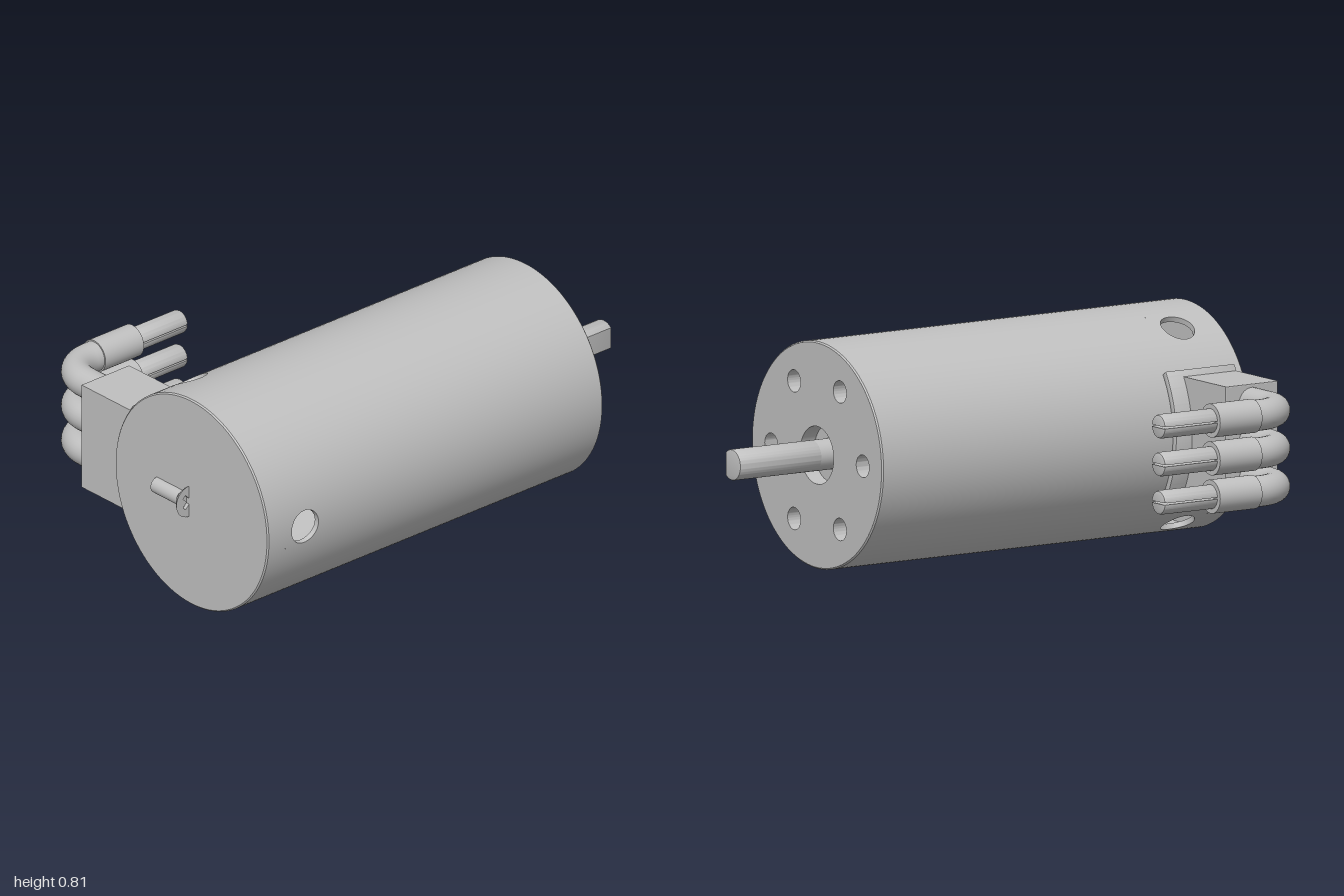
import * as THREE from 'three';
import { toCreasedNormals } from 'three/addons/utils/BufferGeometryUtils.js';
import { ParametricGeometry } from 'three/addons/geometries/ParametricGeometry.js';

const CY = 0.407, CZ = 0.258, R = 0.405, WALL = 0.02; // can axis and radii
const BACK = -0.94, FRONT = 0.635, CH = 0.005;
const HOLE_X = -0.765, HOLE_R = 0.063;

export function createModel() {
  const model = new THREE.Group();
  const metal = new THREE.MeshStandardMaterial({ color: 0xbfbfbf, side: THREE.DoubleSide });
  metal.name = 'grey metal';

  function add(name, geo, x = 0, y = 0, z = 0, parent = model) {
    const mesh = new THREE.Mesh(geo, metal);
    mesh.name = name;
    mesh.position.set(x, y, z);
    parent.add(mesh);
    return mesh;
  }
  function group(name) {
    const g = new THREE.Group();
    g.name = name;
    model.add(g);
    return g;
  }
  // Cylinder or cone along x, from x0 (radius r0) to x1 (radius r1)
  function rod(r0, r1, x0, x1, open = false, seg = 40) {
    const g = new THREE.CylinderGeometry(r1, r0, x1 - x0, seg, 1, open);
    return g.rotateZ(-Math.PI / 2).translate((x0 + x1) / 2, 0, 0);
  }
  // Outline extruded along x from x0 to x1; shape x becomes -z
  function extrudeX(shape, x0, x1, bevel = 0) {
    const g = new THREE.ExtrudeGeometry(shape, {
      depth: x1 - x0 - 2 * bevel, curveSegments: 48, bevelEnabled: bevel > 0,
      bevelSize: bevel, bevelOffset: -bevel, bevelThickness: bevel, bevelSegments: 2,
    });
    g.translate(0, 0, x0 + bevel).rotateY(Math.PI / 2);
    return toCreasedNormals(g, 0.6);
  }
  function circle(r, x = 0, y = 0, Type = THREE.Path) {
    const p = new Type();
    p.absarc(x, y, r, 0, Math.PI * 2, false);
    return p;
  }

  // Can: hollow wall with three vent holes
  const can = group('can');
  const onWall = (x, a, r, out) => out.set(x, CY + r * Math.sin(a), CZ + r * Math.cos(a));
  function patch(x0, x1, a0, a1, r) {
    const n = Math.max(4, Math.ceil((a1 - a0) * 20));
    add('canWall', new ParametricGeometry((u, v, out) =>
      onWall(x0 + u * (x1 - x0), a0 + v * (a1 - a0), r, out), 1, n), 0, 0, 0, can);
  }
  const HX = 0.09, HA = 0.25; // half size of the panel around each vent
  for (const r of [R, R - WALL]) {
    patch(BACK + CH, HOLE_X - HX, 0, Math.PI * 2, r);
    patch(HOLE_X + HX, FRONT - CH, 0, Math.PI * 2, r);
  }
  for (let i = 0; i < 3; i++) {
    const mid = i * Math.PI * 2 / 3;
    for (const r of [R, R - WALL]) {
      patch(HOLE_X - HX, HOLE_X + HX, mid + HA, mid + Math.PI * 2 / 3 - HA, r);
      add('ventPanel', new ParametricGeometry((u, v, out) => {
        const c = Math.cos(u * Math.PI * 2), s = Math.sin(u * Math.PI * 2);
        const m = Math.max(Math.abs(c), Math.abs(s));
        const a = c * THREE.MathUtils.lerp(HOLE_R / R, HA / m, v);
        const x = s * THREE.MathUtils.lerp(HOLE_R, HX / m, v);
        onWall(HOLE_X + x, mid + a, r, out);
      }, 48, 6), 0, 0, 0, can);
    }
    add('ventRim', new ParametricGeometry((u, v, out) => {
      const t = u * Math.PI * 2;
      onWall(HOLE_X + HOLE_R * Math.sin(t), mid + HOLE_R / R * Math.cos(t), R - WALL * v, out);
    }, 48, 1), 0, 0, 0, can);
  }
  add('frontEdge', rod(R, R - CH, FRONT - CH, FRONT, true, 126), 0, CY, CZ, can);
  add('backEdge', rod(R - CH, R, BACK, BACK + CH, true, 126), 0, CY, CZ, can);

  // Front plate with a bearing bore and six drilled holes
  const plate = circle(R - CH, 0, 0, THREE.Shape);
  plate.holes.push(circle(0.103));
  const drills = [];
  for (let i = 0; i < 6; i++) {
    const a = i * Math.PI / 3;
    drills.push([0.283 * Math.cos(a), 0.283 * Math.sin(a)]);
    plate.holes.push(circle(0.04, ...drills[i]));
  }
  add('frontPlate', extrudeX(plate, FRONT - 0.1, FRONT), 0, CY, CZ);
  for (const [z, y] of drills) {
    add('drillTip', rod(0.004, 0.04, FRONT - 0.09, FRONT - 0.06), 0, CY + y, CZ + z);
  }
  add('bearing', rod(0.103, 0.103, FRONT - 0.1, FRONT - 0.06), 0, CY, CZ);
  add('backPlate', rod(R - CH, R - CH, BACK, BACK + 0.03, false, 126), 0, CY, CZ);

  // Output shaft with a flat on its front side
  const flat = Math.PI - Math.acos(0.038 / 0.055);
  const dShape = new THREE.Shape();
  dShape.absarc(0, 0, 0.055, -flat, flat, false);
  add('shaftBase', rod(0.055, 0.055, 0.5, 0.655), 0, CY, CZ);
  add('shaft', extrudeX(dShape, 0.65, 1, 0.004), 0, CY, CZ);

  // Countersunk screw lying half sunk in the back plate, head facing front
  const screw = group('screw');
  screw.position.set(BACK, CY, 0);
  const alongZ = (r0, r1, z0, z1) => rod(r0, r1, z0, z1, false, 32).rotateY(-Math.PI / 2);
  add('screwShank', alongZ(0.03, 0.03, 0.075, 0.22), 0, 0, 0, screw);
  add('screwCone', alongZ(0.03, 0.05, 0.212, 0.232), 0, 0, 0, screw);
  const head = circle(0.06, 0, 0, THREE.Shape);
  const cross = [];
  for (let i = 0; i < 4; i++) {
    const a = i * Math.PI / 2 + Math.PI / 4;
    for (const [p, q] of [[0.008, -0.008], [0.032, -0.008], [0.032, 0.008]]) {
      cross.push(new THREE.Vector2(p * Math.cos(a) - q * Math.sin(a), p * Math.sin(a) + q * Math.cos(a)));
    }
  }
  head.holes.push(new THREE.Path(cross));
  const headGeo = new THREE.ExtrudeGeometry(head, { depth: 0.015, bevelEnabled: false, curveSegments: 32 });
  // Taper the rim towards the shank
  const hp = headGeo.attributes.position;
  for (let i = 0; i < hp.count; i++) {
    const r = Math.hypot(hp.getX(i), hp.getY(i));
    if (r > 0.055 && hp.getZ(i) < 0.001) hp.setXY(i, hp.getX(i) * 0.82, hp.getY(i) * 0.82);
  }
  headGeo.computeVertexNormals();
  add('screwHead', toCreasedNormals(headGeo, 0.6), 0, 0, 0.231, screw);

  // Connector: curved flange hugging the can, and a block
  const flange = new THREE.Shape();
  flange.absarc(0, 0, R + 0.021, -0.565, 0.565, false);
  flange.absarc(0, 0, R - 0.004, 0.565, -0.565, true);
  add('connectorFlange', extrudeX(flange, -0.9, -0.605, 0.004), 0, CY, CZ);
  const block = new THREE.Shape();
  block.moveTo(-0.2, -0.11).lineTo(0.2, -0.11).lineTo(0.2, 0.11).lineTo(-0.2, 0.11);
  const blockGeo = new THREE.ExtrudeGeometry(block, {
    depth: 0.267, bevelSize: 0.004, bevelThickness: 0.004, bevelOffset: -0.002, bevelSegments: 2,
  });
  blockGeo.rotateZ(Math.PI / 2);
  add('connectorBlock', blockGeo, -0.785, 0.411, -0.371);

  // Three bent leads, each with a sleeve and a split pin
  const bend = new THREE.CurvePath();
  const V = (x, z) => new THREE.Vector3(x, 0, z);
  const B = 0.13, K = B * 0.448;
  bend.add(new THREE.LineCurve3(V(-0.785, -0.36), V(-0.785, -0.605 + B)));
  bend.add(new THREE.CubicBezierCurve3(V(-0.785, -0.605 + B), V(-0.785, -0.605 + K),
    V(-0.785 + K, -0.605), V(-0.785 + B, -0.605)));
  bend.add(new THREE.LineCurve3(V(-0.785 + B, -0.605), V(-0.62, -0.605)));
  const half = new THREE.Shape();
  half.absarc(0, 0, 0.043, 0.07, Math.PI - 0.07, false);
  for (const y of [0.275, 0.411, 0.546]) {
    const lead = group('lead');
    lead.position.y = y;
    add('wire', new THREE.TubeGeometry(bend, 48, 0.055, 28), 0, 0, 0, lead);
    add('sleeve', rod(0.06, 0.06, -0.63, -0.45), 0, 0, -0.605, lead);
    for (const turn of [0, Math.PI]) {
      const pin = extrudeX(half, -0.46, -0.225, 0.01);
      add('pinHalf', pin, 0, 0, -0.605, lead).rotation.x = turn;
    }
  }
  return model;
}
